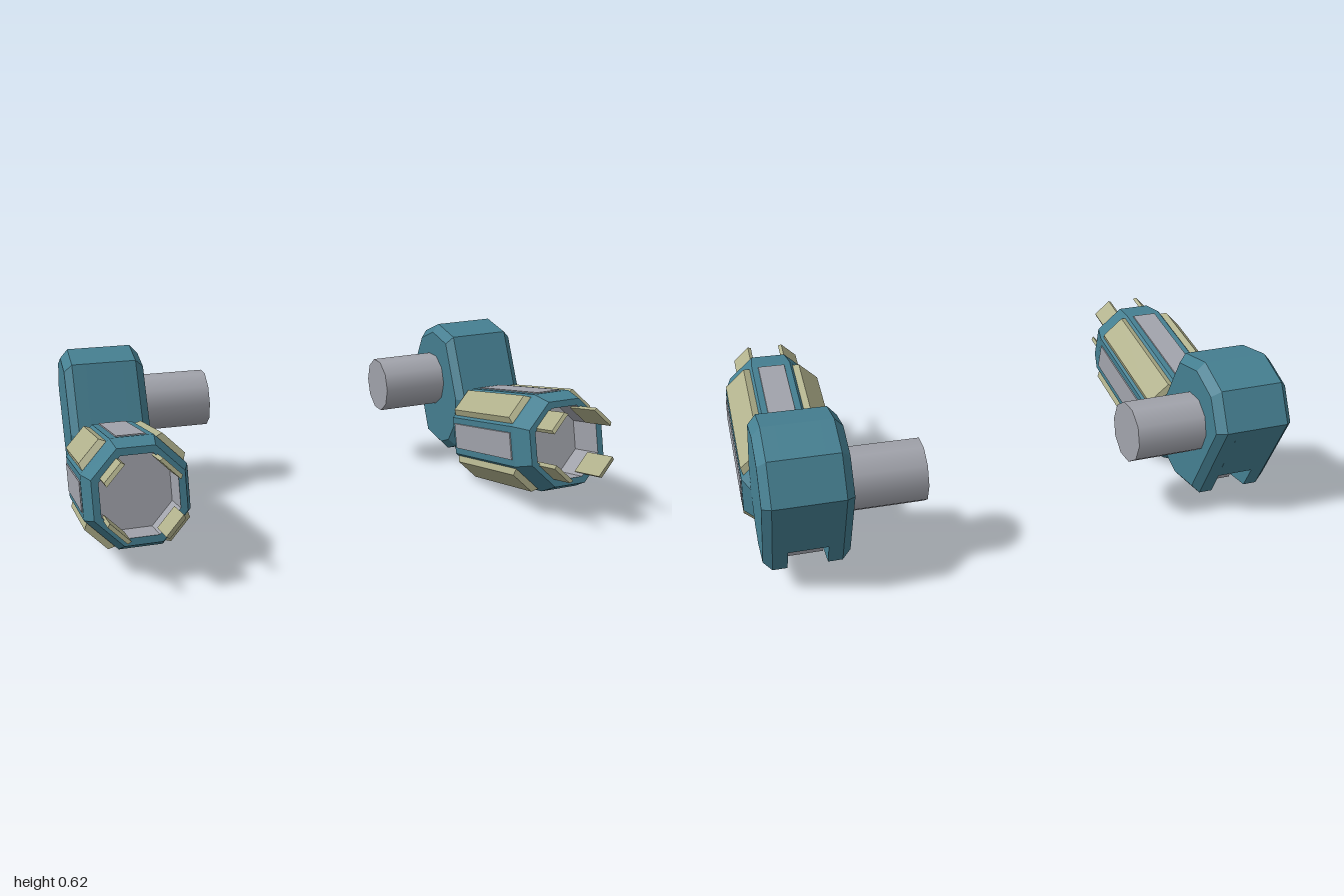
import * as THREE from 'three';

const mat = (name, color) => {
  const m = new THREE.MeshStandardMaterial({ color });
  m.name = name;
  return m;
};

function add(parent, name, geometry, material) {
  const mesh = new THREE.Mesh(geometry, material);
  mesh.name = name;
  parent.add(mesh);
  return mesh;
}

// Facet a geometry by splitting its vertices
function faceted(g) {
  const f = g.index ? g.toNonIndexed() : g;
  f.computeVertexNormals();
  return f;
}

// Eight-sided turned shape along z, with flats facing the axes
const turned = (points) => faceted(
  new THREE.LatheGeometry(points.map((p) => new THREE.Vector2(...p)), 8, Math.PI / 8).rotateX(Math.PI / 2));

// Plate with its outer (+y) face drawn in by a chamfer
function plate(w, t, l, chamfer) {
  const g = new THREE.BoxGeometry(w, t, l);
  const p = g.attributes.position;
  for (let i = 0; i < p.count; i++) {
    if (p.getY(i) > 0) {
      p.setX(i, p.getX(i) - Math.sign(p.getX(i)) * chamfer);
      p.setZ(i, p.getZ(i) - Math.sign(p.getZ(i)) * chamfer);
    }
  }
  return faceted(g);
}

// Solid through cross-sections along x: sections are [x, scale] of a convex [z, y] outline
function loft(outline, sections) {
  const cz = -0.39, cy = 0.34, n = outline.length, pos = [];
  const rings = sections.map(([x, s]) => outline.map(([z, y]) => [x, cy + (y - cy) * s, cz + (z - cz) * s]));
  const tri = (a, b, c) => pos.push(...a, ...b, ...c);
  for (let r = 0; r < rings.length - 1; r++) {
    const A = rings[r], B = rings[r + 1];
    for (let i = 0; i < n; i++) {
      const j = (i + 1) % n;
      tri(A[i], B[i], A[j]);
      tri(A[j], B[i], B[j]);
    }
  }
  const first = rings[0], last = rings[rings.length - 1];
  for (let i = 1; i < n - 1; i++) {
    tri(first[0], first[i], first[i + 1]);
    tri(last[0], last[i + 1], last[i]);
  }
  const g = new THREE.BufferGeometry();
  g.setAttribute('position', new THREE.Float32BufferAttribute(pos, 3));
  g.computeVertexNormals();
  return g;
}

const UPPER = [[-0.27, 0.585], [-0.42, 0.615], [-0.555, 0.56], [-0.63, 0.425],
  [-0.48, 0.085], [-0.32, 0.065], [-0.235, 0.1], [-0.165, 0.2], [-0.155, 0.33]];
const CORE = [[-0.27, 0.585], [-0.42, 0.615], [-0.555, 0.56], [-0.63, 0.425],
  [-0.52, 0.175], [-0.26, 0.25], [-0.155, 0.33]];

export function createModel() {
  const teal = mat('teal armour', 0x457f91);
  const gray = mat('gray metal', 0xa2a4ac);
  const beige = mat('beige trim', 0xb1b18c);

  function forearm(pitch, z) {
    const g = new THREE.Group();
    g.name = 'forearm';
    g.position.set(0, 0.24, z);
    g.rotation.x = -pitch;
    g.scale.y = 1.05;
    add(g, 'forearmShell', turned([[0, -0.33], [0.152, -0.33], [0.195, -0.262], [0.195, 0.262], [0.168, 0.35], [0.142, 0.35]]), teal);
    // Hollow muzzle
    add(g, 'muzzleLining', turned([[0.142, 0.35], [0.142, 0.19], [0, 0.19]]), gray);
    add(g, 'wristCollar', turned([[0, -0.42], [0.09, -0.42], [0.115, -0.32]]), gray);
    // Panels round the eight sides, with prongs ahead of the diagonal ones
    for (let k = 0; k < 8; k++) {
      const side = new THREE.Group();
      side.name = 'forearmSide';
      side.rotation.z = k * Math.PI / 4;
      g.add(side);
      if (k % 2 === 0) {
        add(side, 'inlayPanel', plate(0.104, 0.006, 0.49, 0.002), gray).position.y = 0.181;
      } else {
        add(side, 'raisedPanel', plate(0.13, 0.03, 0.51, 0.014), beige).position.y = 0.188;
        add(side, 'prong', plate(0.09, 0.014, 0.17, 0.004), beige).position.set(0, 0.13, 0.382);
      }
    }
    return g;
  }

  function arm(name, inward, x, roll, pitch, z) {
    const outer = new THREE.Group();
    outer.name = name;
    outer.position.set(x, 0.3, 0);
    outer.rotation.z = roll;
    const body = new THREE.Group();
    body.name = name + 'Body';
    body.position.y = -0.3;
    outer.add(body);

    // Upper arm: two cheeks either side of a shortened core, leaving the elbow slot
    add(body, 'upperArmCore', loft(CORE, [[-0.075, 1], [0.075, 1]]), teal);
    add(body, 'upperArmCheek', loft(UPPER, [[0.07, 1], [0.122, 1], [0.152, 0.88]]), teal);
    add(body, 'upperArmCheek', loft(UPPER, [[-0.152, 0.88], [-0.122, 1], [-0.07, 1]]), teal);

    // Elbow hinge
    const hinge = faceted(new THREE.CylinderGeometry(0.12, 0.12, 0.136, 8).rotateZ(Math.PI / 2));
    const elbow = add(body, 'elbowHinge', hinge, gray);
    elbow.position.set(0, 0.125, -0.275);
    elbow.rotation.x = 0.2;

    // Shoulder axle pointing towards the middle
    const axle = add(body, 'shoulderAxle', new THREE.CylinderGeometry(0.114, 0.114, 0.3, 10).rotateZ(Math.PI / 2), gray);
    axle.position.set(inward * 0.27, 0.372, -0.418);

    body.add(forearm(pitch, z));
    return outer;
  }

  const model = new THREE.Group();
  model.name = 'armPair';
  model.add(arm('rightArm', 1, -0.818, 0, 0.19, 0.1425));
  model.add(arm('leftArm', -1, 0.808, 0.035, 0.205, 0.122));
  return model;
}
